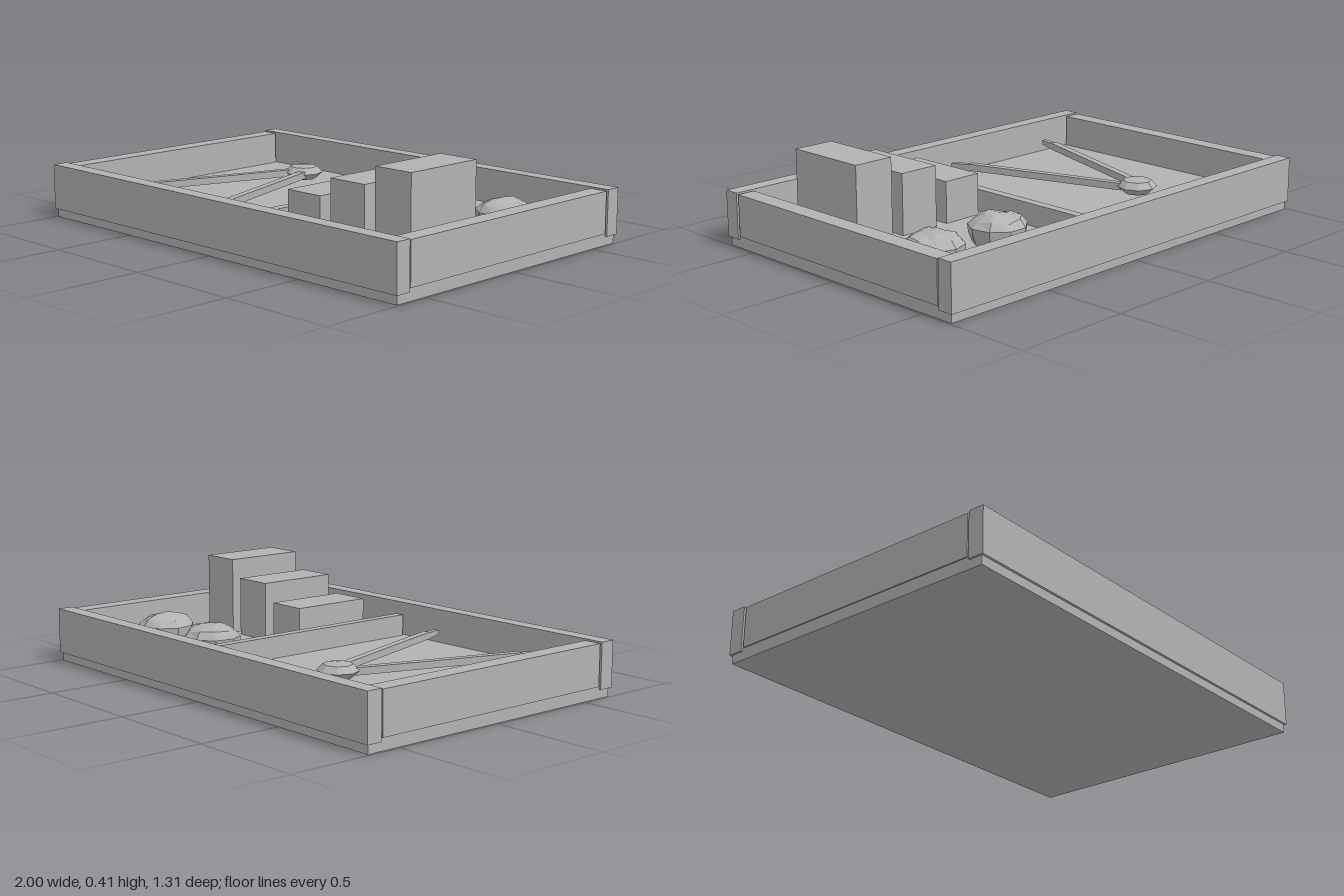
import * as THREE from 'three';

const grey = new THREE.MeshStandardMaterial({ color: 0xb2b2b2, flatShading: true });
grey.name = 'plain grey';

export function createModel() {
  const model = new THREE.Group();
  model.name = 'tray';

  const add = (name, geometry, parent = model) => {
    const mesh = new THREE.Mesh(geometry, grey);
    mesh.name = name;
    parent.add(mesh);
    return mesh;
  };

  // Box given by its minimum and maximum on each axis
  const box = (name, [x0, x1], [y0, y1], [z0, z1], parent) => {
    const mesh = add(name, new THREE.BoxGeometry(x1 - x0, y1 - y0, z1 - z0), parent);
    mesh.position.set((x0 + x1) / 2, (y0 + y1) / 2, (z0 + z1) / 2);
    return mesh;
  };

  // Floor, rails and side walls, with a thin joint between rail and wall
  box('floor', [-0.992, 0.992], [0, 0.085], [-0.645, 0.645]);
  box('frontRail', [-1, 1], [0.037, 0.23], [0.588, 0.655]);
  box('backRail', [-1, 1], [0.037, 0.23], [-0.655, -0.588]);
  box('leftWall', [0.92, 0.997], [0.05, 0.225], [-0.58, 0.58]);
  box('rightWall', [-0.997, -0.92], [0.05, 0.225], [-0.58, 0.58]);
  box('divider', [0.117, 0.158], [0.08, 0.178], [-0.575, 0.572]);

  // Three blocks stepping up in height
  [[0.195, 0.26], [0.428, 0.338], [0.66, 0.415]].forEach(([x, top]) =>
    box('block', [x, x + 0.178], [0.08, top], [0.04, 0.405]));

  // Two faceted round pots with low, uneven domes
  const potProfile = [[0.1, 0.082], [0.116, 0.12], [0.12, 0.155], [0.095, 0.182], [0.05, 0.198], [0, 0.203]]
    .map(([r, y]) => new THREE.Vector2(r, y));
  [0.395, 0.73].forEach((x, i) => {
    const geometry = new THREE.LatheGeometry(potProfile, 9);
    const p = geometry.attributes.position;
    for (let k = 0; k < p.count; k++) {
      const px = p.getX(k), pz = p.getZ(k);
      if (p.getY(k) > 0.17) p.setY(k, p.getY(k) + 0.006 * Math.sin(45 * px + 30 * pz + i * 2));
    }
    geometry.computeVertexNormals();
    const pot = add('pot', geometry);
    pot.position.set(x, 0, -0.275);
    pot.rotation.y = i * 0.35;
  });

  // Pair of dividers: faceted hub, two splayed legs and tapered points
  const compass = new THREE.Group();
  compass.name = 'compass';
  compass.position.set(-0.425, 0, -0.285);
  model.add(compass);

  const hubProfile = [[0, 0.115], [0.055, 0.12], [0.085, 0.148], [0.06, 0.174], [0, 0.182]]
    .map(([r, y]) => new THREE.Vector2(r, y));
  add('hub', new THREE.LatheGeometry(hubProfile, 8), compass);

  for (const side of [-1, 1]) {
    const leg = new THREE.Group();
    leg.name = side < 0 ? 'rightLeg' : 'leftLeg';
    leg.position.x = side * 0.025;
    leg.rotation.y = side * Math.atan2(0.27, 0.82);
    compass.add(leg);
    box('arm', [-0.016, 0.016], [0.13, 0.16], [0.05, 0.775], leg);
    const tip = add('point', new THREE.CylinderGeometry(0.014, 0.02, 0.1, 4).rotateY(Math.PI / 4), leg);
    tip.rotation.x = Math.PI / 2;
    tip.position.set(0, 0.143, 0.815);
  }

  return model;
}
